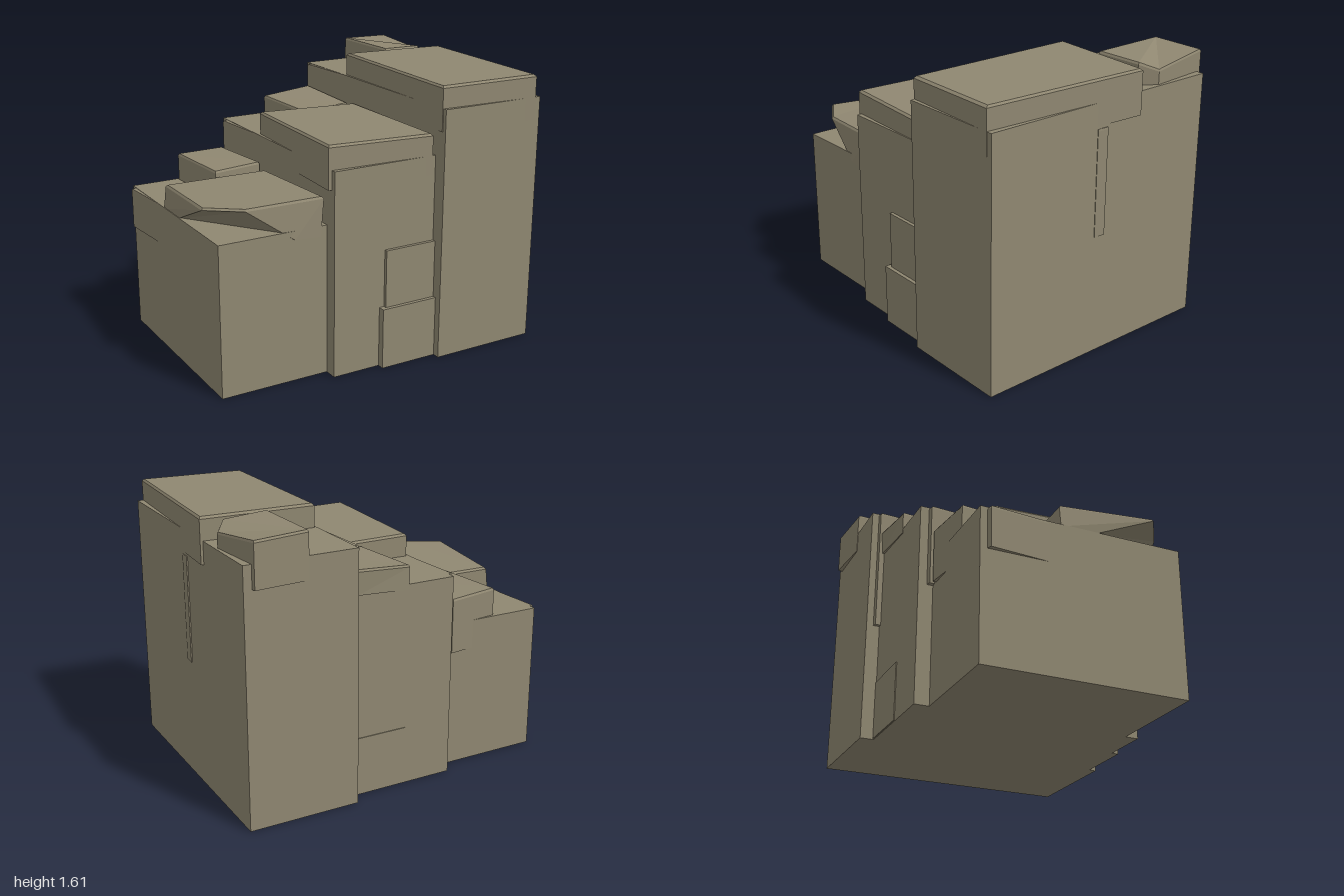
import * as THREE from 'three';

const stone = new THREE.MeshStandardMaterial({ color: 0x8f8771, flatShading: true });
stone.name = 'stone';

// Box given by its limits
function block(name, [x0, x1], [y0, y1], [z0, z1]) {
  const mesh = new THREE.Mesh(new THREE.BoxGeometry(x1 - x0, y1 - y0, z1 - z0), stone);
  mesh.position.set((x0 + x1) / 2, (y0 + y1) / 2, (z0 + z1) / 2);
  mesh.name = name;
  return mesh;
}

// Hewn slab: bottom ring, top ring and a slightly inset cap; corners [x, y, z] run clockwise from above
function slab(name, top, bottom) {
  const n = top.length;
  const cx = top.reduce((s, p) => s + p[0], 0) / n;
  const cz = top.reduce((s, p) => s + p[2], 0) / n;
  const rim = top.map(([x, y, z]) => [x, y - 0.012, z]);
  const cap = top.map(([x, y, z]) => [x + (cx - x) * 0.03, y, z + (cz - z) * 0.03]);
  const pos = [];
  const tri = (a, b, c) => pos.push(...a, ...b, ...c);
  for (const [up, low] of [[cap, rim], [rim, bottom]]) {
    for (let i = 0; i < n; i++) {
      const j = (i + 1) % n;
      tri(up[i], up[j], low[j]);
      tri(up[i], low[j], low[i]);
    }
  }
  for (let i = 1; i < n - 1; i++) {
    tri(cap[0], cap[i + 1], cap[i]);
    tri(bottom[0], bottom[i], bottom[i + 1]);
  }
  const geo = new THREE.BufferGeometry();
  geo.setAttribute('position', new THREE.Float32BufferAttribute(pos, 3));
  geo.computeVertexNormals();
  const mesh = new THREE.Mesh(geo, stone);
  mesh.name = name;
  return mesh;
}

// Slab with upright sides down to one level
const uprightSlab = (name, top, base) => slab(name, top, top.map(([x, , z]) => [x, base, z]));

export function createModel() {
  const model = new THREE.Group();
  model.name = 'steppedStonePillars';

  // Three pillars of rising height
  model.add(
    block('lowPillar', [-0.97, -0.32], [0, 0.88], [-0.59, 0.61]),
    block('middlePillar', [-0.32, 0.33], [0, 1.2], [-0.677, 0.69]),
    block('tallPillar', [0.33, 0.985], [0, 1.475], [-0.757, 0.775]),
  );

  // Blocks standing slightly proud of the pillar faces
  model.add(
    block('frontLowerBlock', [-0.025, 0.33], [0, 0.36], [0.5, 0.732]),
    block('frontUpperBlock', [0.005, 0.33], [0.36, 0.7], [0.5, 0.71]),
    block('backLowerBlock', [-0.02, 0.33], [0.005, 0.35], [-0.682, -0.5]),
  );

  // Turned blocks whose corners poke out of the pillar sides
  const wedge = (name, pts, y0, y1) =>
    uprightSlab(name, pts.map(([x, z]) => [x, y1, z]), y0);
  model.add(
    wedge('lowSideBlock', [[-0.998, -0.54], [-0.9, -0.57], [-0.9, -0.18], [-0.969, -0.18]], 0.64, 0.878),
    wedge('middleSideBlock', [[-0.35, -0.62], [-0.25, -0.64], [-0.25, -0.2], [-0.318, -0.2]], 0.71, 1.198),
    wedge('tallSideBlock', [[0.305, -0.71], [0.4, -0.73], [0.4, -0.25], [0.332, -0.25]], 0.71, 1.473),
    wedge('tallOuterBlock', [[0.9, -0.02], [0.992, -0.015], [0.988, 0.055], [0.9, 0.055]], 0.71, 1.33),
  );

  // Large front cap stones
  model.add(
    slab('lowFrontCap',
      [[-0.95, 1.01, -0.12], [-0.33, 1.01, -0.1], [-0.34, 1.045, 0.61], [-0.79, 1.035, 0.575], [-0.985, 1.04, 0.45]],
      [[-0.965, 0.87, -0.12], [-0.33, 0.87, -0.1], [-0.36, 0.82, 0.614], [-0.52, 0.83, 0.614], [-0.965, 0.87, 0.08]]),
    uprightSlab('middleFrontCap',
      [[-0.3, 1.335, -0.21], [0.328, 1.32, -0.18], [0.31, 1.325, 0.692], [-0.34, 1.338, 0.66]], 1.09),
    uprightSlab('tallFrontCap',
      [[0.345, 1.61, -0.29], [1.0, 1.605, -0.25], [0.95, 1.605, 0.778], [0.325, 1.6, 0.75]], 1.345),
  );

  // Small back cap stones
  model.add(
    uprightSlab('lowBackCap',
      [[-0.68, 1.045, -0.57], [-0.37, 1.035, -0.61], [-0.33, 1.04, -0.17], [-0.64, 1.04, -0.12]], 0.71),
    slab('middleBackCap',
      [[-0.03, 1.31, -0.68], [0.3, 1.335, -0.7], [0.32, 1.31, -0.24], [0, 1.3, -0.2]],
      [[-0.03, 1.17, -0.68], [0.3, 1.19, -0.69], [0.32, 1.17, -0.24], [0, 1.17, -0.2]]),
    uprightSlab('tallBackCap',
      [[0.62, 1.61, -0.76], [0.935, 1.6, -0.785], [0.97, 1.56, -0.41], [0.9, 1.6, -0.32], [0.63, 1.61, -0.29]], 1.345),
  );

  return model;
}
